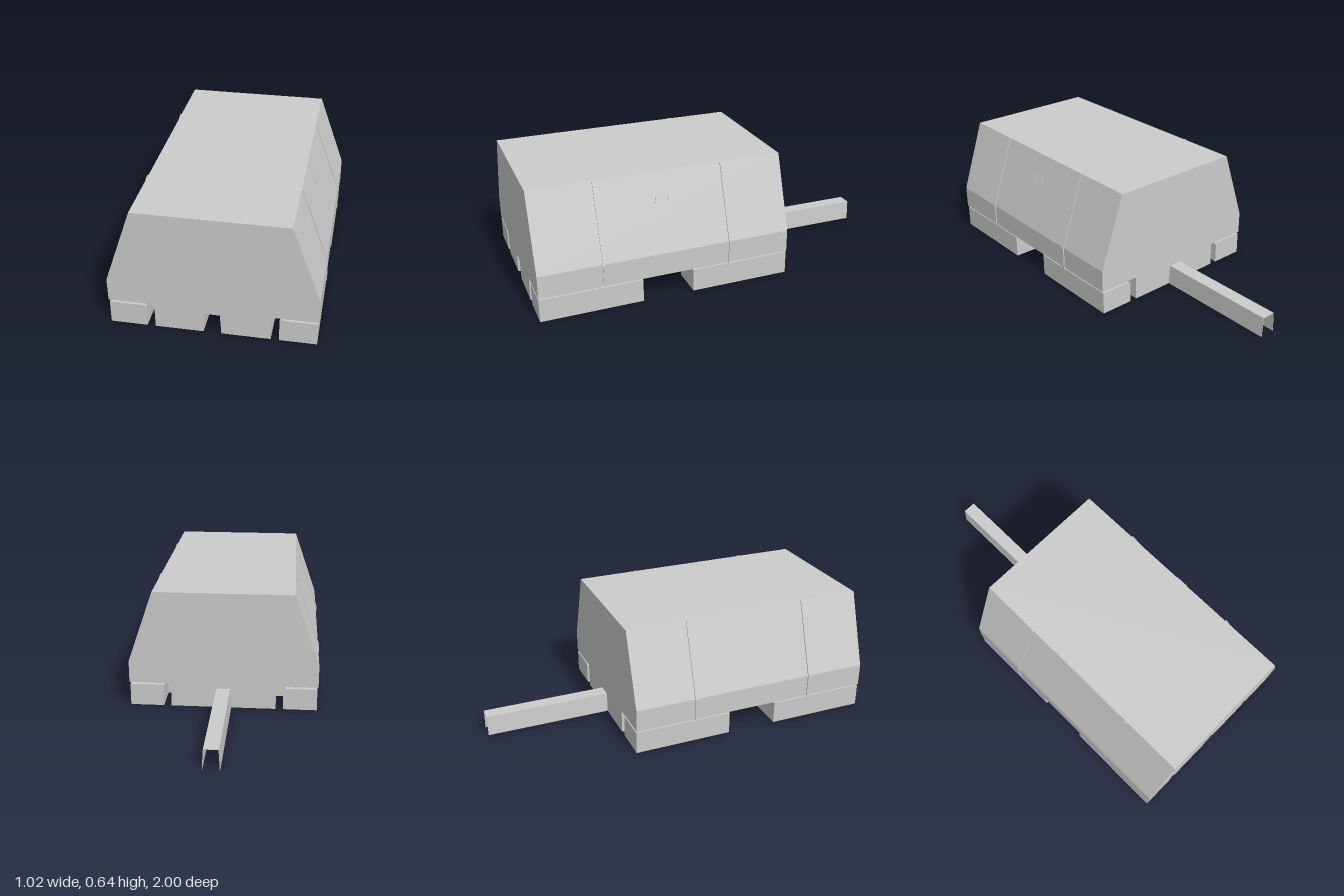
import * as THREE from 'three';

const material = new THREE.MeshStandardMaterial({ color: 0xcccccc, flatShading: true, side: THREE.DoubleSide });
const BACK = -0.33, FRONT = 1;

function shapeOf(points) {
  return new THREE.Shape(points.map(([x, y]) => new THREE.Vector2(x, y)));
}

// Extrude a front-view outline between two z positions
function prism(name, points, z0, z1) {
  const geometry = new THREE.ExtrudeGeometry(shapeOf(points), { depth: z1 - z0, bevelEnabled: false });
  geometry.translate(0, 0, z0);
  const mesh = new THREE.Mesh(geometry, material);
  mesh.name = name;
  return mesh;
}

function box(name, x0, x1, y0, y1, z0, z1) {
  const mesh = new THREE.Mesh(new THREE.BoxGeometry(x1 - x0, y1 - y0, z1 - z0), material);
  mesh.position.set((x0 + x1) / 2, (y0 + y1) / 2, (z0 + z1) / 2);
  mesh.name = name;
  return mesh;
}

export function createModel() {
  const model = new THREE.Group();
  model.name = 'vehicle';

  // Hull with a narrow keel and a tapered guide slot through its underside
  const half = [
    [0.037, 0.108], [0.043, 0], [0.28, 0], [0.28, 0.118], [0.284, 0.127], [0.293, 0.13],
    [0.505, 0.13], [0.505, 0.25], [0.37, 0.64],
  ];
  const mirrored = half.map(([x, y]) => [-x, y]).reverse();
  model.add(prism('hull', [...half, ...mirrored], BACK, FRONT));

  // Thin inverted channel running out behind the hull
  model.add(prism('guideRail', [
    [-0.043, 0], [-0.037, 0.108], [0.037, 0.108], [0.043, 0],
    [0.041, 0], [0.035, 0.106], [-0.035, 0.106], [-0.041, 0],
  ], -1, BACK));

  for (const side of [-1, 1]) {
    const group = new THREE.Group();
    group.name = side > 0 ? 'leftSide' : 'rightSide';
    const at = (points) => points.map(([x, y]) => [x * side, y]);

    // Skirt pods, each joined to the keel by a bridge
    for (const [z0, z1] of [[BACK, 0.2], [0.47, FRONT]]) {
      group.add(prism('skirtPod', at([[0.32, 0], [0.5, 0], [0.5, 0.12], [0.328, 0.12], [0.32, 0.112]]), z0, z1));
      const mid = (z0 + z1) / 2;
      const edges = [0.27 * side, 0.33 * side].sort((a, b) => a - b);
      group.add(box('podBridge', edges[0], edges[1], 0, 0.11, mid - 0.1, mid + 0.1));
    }

    // Ribbed underside flare between the pods, narrowing as it rises outward
    const ribs = 10, rise = 0.13 / ribs;
    for (let i = 0; i < ribs; i++) {
      const t = i / (ribs - 1);
      const edges = [0.27 * side, (0.285 + 0.115 * t) * side].sort((a, b) => a - b);
      group.add(box('flareRib', edges[0], edges[1], i * rise, (i + 1) * rise, 0.2 + 0.05 * t, 0.47 - 0.05 * t));
    }

    // Raised panel seams
    for (const z of [0, 0.67]) {
      group.add(prism('panelSeam', at([
        [0.5, 0.13], [0.511, 0.13], [0.511, 0.25], [0.376, 0.64], [0.365, 0.64], [0.5, 0.25],
      ]), z - 0.006, z + 0.006));
    }
    model.add(group);
  }

  // Small framed handle on the left slope
  const frame = shapeOf([[-0.035, -0.017], [0.035, -0.017], [0.035, 0.017], [-0.035, 0.017]]);
  frame.holes.push(new THREE.Path([[-0.031, -0.013], [-0.031, 0.013], [0.031, 0.013], [0.031, -0.013]]
    .map(([x, y]) => new THREE.Vector2(x, y))));
  const plate = new THREE.Mesh(new THREE.ExtrudeGeometry(frame, { depth: 0.005, bevelEnabled: false }), material);
  plate.rotation.y = Math.PI / 2;
  const handle = new THREE.Group();
  handle.name = 'sideHandle';
  handle.add(plate);
  handle.rotation.z = Math.atan2(0.135, 0.39);
  handle.position.set(0.505 - (0.51 - 0.25) * 0.135 / 0.39, 0.51, 0.335);
  model.add(handle);

  return model;
}
